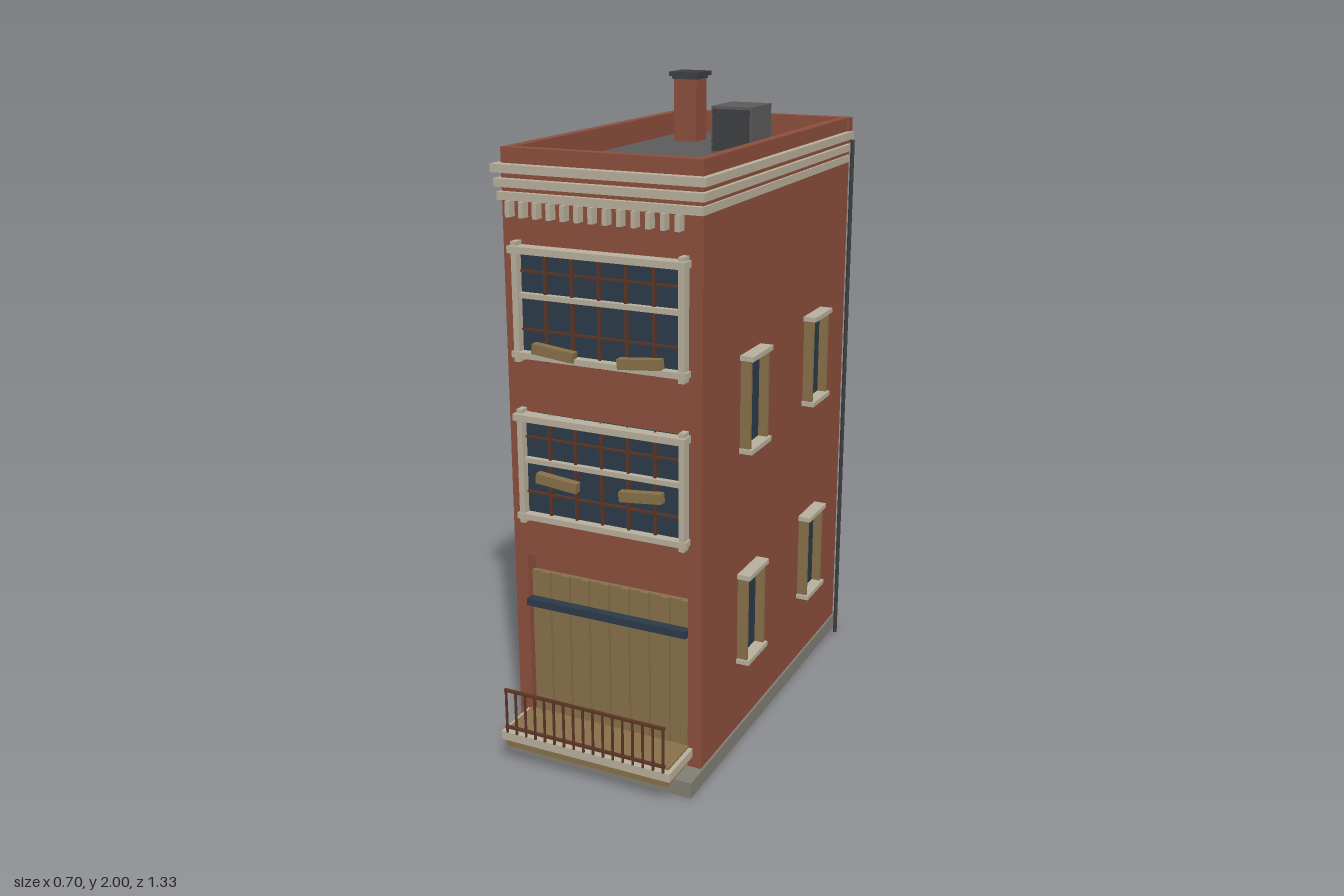
import * as THREE from 'three';

const mat = (name, color) => {
  const m = new THREE.MeshStandardMaterial({ color });
  m.name = name;
  return m;
};

export function createModel() {
  const brick = mat('brick', 0x8c4f3c);
  const cream = mat('cream stone', 0xb8b09c);
  const wood = mat('wood', 0x87704a);
  const glass = mat('dark glass', 0x2b3a47);
  const brown = mat('brown trim', 0x5c3524);
  const roofGrey = mat('roof grey', 0x5b5b5b);
  const stone = mat('plinth stone', 0x817e74);
  const iron = mat('dark iron', 0x3d3e41);

  const model = new THREE.Group();
  model.name = 'townhouse';

  const group = (name, parent = model) => {
    const g = new THREE.Group();
    g.name = name;
    parent.add(g);
    return g;
  };
  // Box given by its limits on each axis
  const box = (name, m, x0, x1, y0, y1, z0, z1, parent = model) => {
    const mesh = new THREE.Mesh(new THREE.BoxGeometry(x1 - x0, y1 - y0, z1 - z0), m);
    mesh.position.set((x0 + x1) / 2, (y0 + y1) / 2, (z0 + z1) / 2);
    mesh.name = name;
    parent.add(mesh);
    return mesh;
  };

  // Main body, with a front wall that has the door recess cut out
  box('plinth', stone, -0.317, 0.317, 0, 0.05, -0.665, 0.588);
  box('body', brick, -0.31, 0.31, 0.05, 1.77, -0.66, 0.46);
  const wall = new THREE.Shape([[-0.31, 0.05], [-0.267, 0.05], [-0.267, 0.635], [0.267, 0.635],
    [0.267, 0.05], [0.31, 0.05], [0.31, 1.77], [-0.31, 1.77]].map(p => new THREE.Vector2(...p)));
  const front = new THREE.Mesh(new THREE.ExtrudeGeometry(wall, { depth: 0.045, bevelEnabled: false }), brick);
  front.position.z = 0.46;
  front.name = 'frontWall';
  model.add(front);

  // Roof and parapet
  box('roof', roofGrey, -0.28, 0.28, 1.77, 1.778, -0.63, 0.472);
  const parapet = group('parapet');
  box('parapetFront', brick, -0.31, 0.31, 1.77, 1.85, 0.472, 0.505, parapet);
  box('parapetBack', brick, -0.317, 0.317, 1.77, 1.85, -0.665, -0.63, parapet);
  for (const s of [-1, 1]) {
    const x = s * 0.295;
    box('parapetSide', brick, x - 0.015, x + 0.015, 1.77, 1.85, -0.63, 0.472, parapet);
  }

  // Cornice bands around the front and both sides
  const cornice = group('cornice');
  for (const [y0, y1, out] of [[1.705, 1.728, 0.012], [1.742, 1.765, 0.018], [1.782, 1.806, 0.024]]) {
    const w = 0.305 + out, z = 0.51 + out;
    box('frontBand', cream, -w, w, y0, y1, 0.5, z, cornice);
    for (const s of [-1, 1]) {
      const x = s * (w + 0.305) / 2, h = (w - 0.305) / 2;
      box('sideBand', cream, x - h, x + h, y0, y1, -0.65, 0.5, cornice);
    }
  }
  for (let i = 0; i < 13; i++) {
    const x = -0.277 + i * 0.0437;
    box('dentil', cream, x - 0.007, x + 0.007, 1.66, 1.705, 0.505, 0.535, cornice);
  }

  // Wide front windows with muntins, frame and tilted flower boxes
  const frontWindow = (y0, y1, boxY) => {
    const g = group('frontWindow');
    const midY = y0 + (y1 - y0) * 0.57;
    box('pane', glass, -0.255, 0.255, y0, y1, 0.505, 0.512, g);
    for (let i = -2; i <= 2; i++) {
      box('muntin', brown, i * 0.085 - 0.004, i * 0.085 + 0.004, y0, y1, 0.512, 0.522, g);
    }
    for (const f of [0.27, 0.78]) {
      const y = y0 + (y1 - y0) * f;
      box('crossMuntin', brown, -0.25, 0.25, y - 0.003, y + 0.003, 0.512, 0.52, g);
    }
    box('transom', cream, -0.25, 0.25, midY - 0.007, midY + 0.008, 0.512, 0.53, g);
    box('head', cream, -0.275, 0.275, y1 - 0.02, y1, 0.505, 0.548, g);
    box('sill', cream, -0.275, 0.275, y0 + 0.008, y0 + 0.026, 0.505, 0.54, g);
    for (const s of [-1, 1]) {
      const x = s * 0.26;
      box('post', cream, x - 0.009, x + 0.009, y0 - 0.005, y1 + 0.012, 0.505, 0.536, g);
      const b = box('flowerBox', wood, s * 0.136 - 0.067, s * 0.136 + 0.067, boxY - 0.015, boxY + 0.015, 0.524, 0.55, g);
      b.rotation.z = s * 0.1;
    }
  };
  frontWindow(1.25, 1.582, 1.287);
  frontWindow(0.755, 1.09, 0.897);

  // Plank door set in the recess, with its bar
  const door = group('plankDoor');
  box('doorBacking', wood, -0.267, 0.267, 0.05, 0.572, 0.46, 0.474, door);
  const planks = 16, pitch = 0.534 / planks;
  for (let i = 0; i < planks; i++) {
    const x = -0.267 + i * pitch;
    box('plank', wood, x + 0.002, x + pitch - 0.002, 0.05, 0.577, 0.474, 0.484 + (i % 2) * 0.006, door);
  }
  box('doorBar', glass, -0.266, 0.266, 0.472, 0.495, 0.49, 0.519, door);

  // Low balcony with railing
  const balcony = group('balcony');
  box('balconyStep', wood, -0.27, 0.27, 0.062, 0.085, 0.49, 0.655, balcony);
  box('balconySlab', cream, -0.283, 0.283, 0.085, 0.112, 0.505, 0.662, balcony);
  box('deck', wood, -0.27, 0.27, 0.112, 0.118, 0.505, 0.642, balcony);
  for (const y of [0.132, 0.255]) {
    box('rail', brown, -0.267, 0.267, y - 0.004, y + 0.004, 0.656, 0.665, balcony);
  }
  for (let i = 0; i <= 16; i++) {
    const x = -0.262 + i * 0.03275;
    box('baluster', brown, x - 0.003, x + 0.003, 0.112, 0.255, 0.658, 0.664, balcony);
  }

  // Side windows, mirrored on both walls, and drainpipes
  for (const s of [-1, 1]) {
    const side = group(s > 0 ? 'leftSide' : 'rightSide');
    const out = (name, m, a, b, y0, y1, z0, z1) =>
      box(name, m, Math.min(s * a, s * b), Math.max(s * a, s * b), y0, y1, z0, z1, side);
    for (const y of [0.28, 0.965]) {
      for (const z of [0.17, -0.347]) {
        out('sidePane', glass, 0.309, 0.314, y, y + 0.285, z - 0.065, z + 0.065);
        for (const d of [-1, 1]) {
          const c = z + d * 0.066;
          out('jamb', wood, 0.309, 0.343, y, y + 0.285, c - 0.005, c + 0.005);
        }
        out('sideSill', cream, 0.309, 0.352, y - 0.004, y + 0.011, z - 0.077, z + 0.077);
        out('lintel', cream, 0.309, 0.352, y + 0.279, y + 0.294, z - 0.077, z + 0.077);
      }
    }
    const pipe = new THREE.Mesh(new THREE.CylinderGeometry(0.007, 0.007, 1.78, 8), iron);
    pipe.position.set(s * 0.336, 0.89, -0.617);
    pipe.name = 'drainpipe';
    side.add(pipe);
  }

  // Back windows
  for (const y of [0.28, 0.96]) {
    box('backPane', glass, -0.097, 0.097, y, y + 0.285, -0.664, -0.657);
  }

  // Chimney with a two-step cap
  const chimney = group('chimney');
  box('shaft', brick, -0.195, -0.115, 1.775, 1.985, -0.447, -0.367, chimney);
  box('cap', iron, -0.207, -0.103, 1.986, 2, -0.459, -0.355, chimney);
  box('capNeck', iron, -0.199, -0.111, 1.977, 1.986, -0.451, -0.363, chimney);

  // Rooftop vent unit with louvres
  const vent = group('roofVent');
  box('ventCase', roofGrey, 0.042, 0.175, 1.775, 1.92, -0.295, -0.137, vent);
  box('ventPanel', iron, 0.048, 0.169, 1.785, 1.912, -0.137, -0.134, vent);
  for (let i = 0; i < 6; i++) {
    const y = 1.795 + i * 0.021;
    box('louvre', iron, 0.048, 0.169, y - 0.004, y + 0.004, -0.134, -0.128, vent);
  }

  return model;
}
